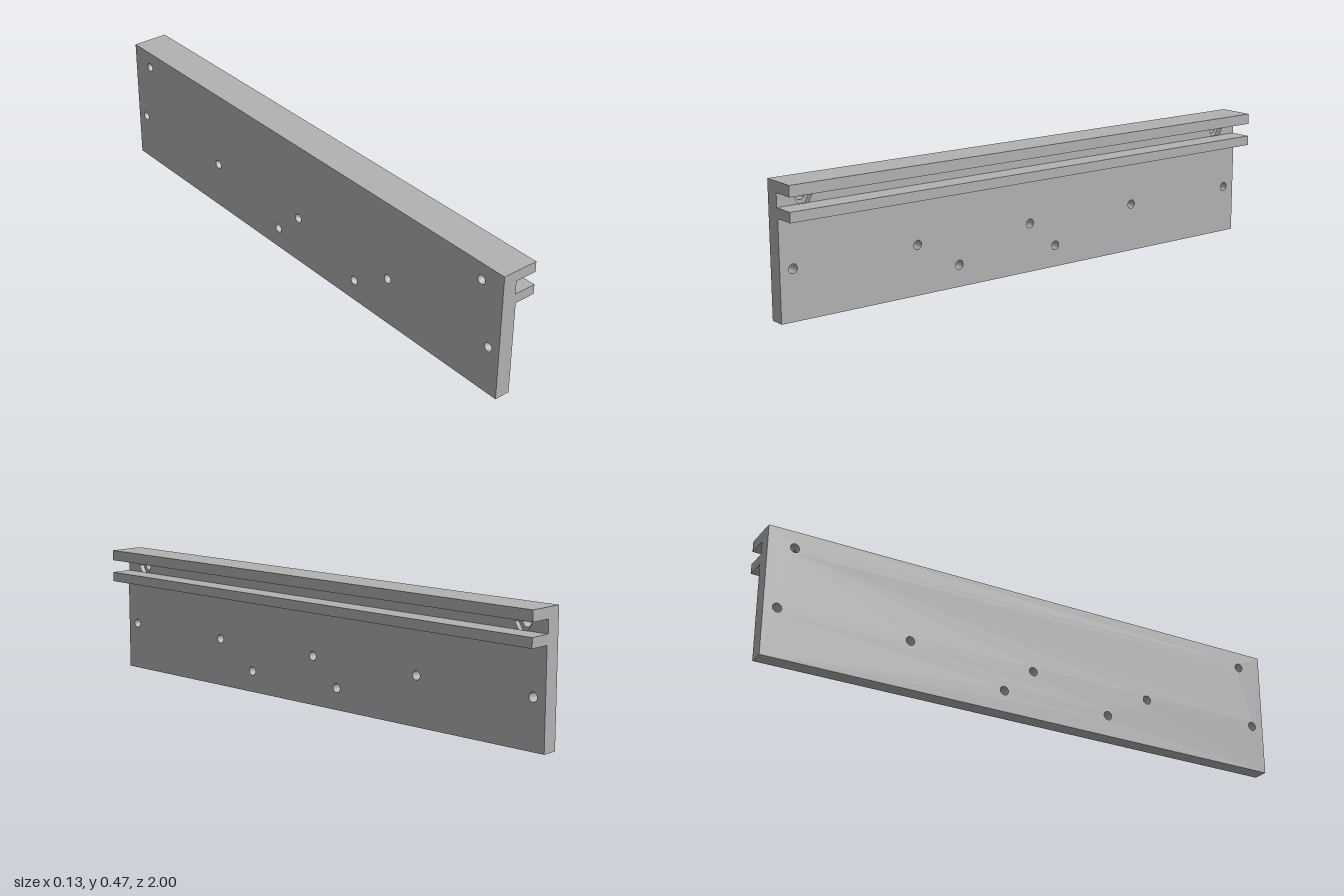
import * as THREE from 'three';

const LENGTH = 2;
const HOLE_R = 0.016;
const POCKET_R = 0.0325;
const X_BACK = -0.067, X_POCKET = -0.034, X_SLOT = -0.014, X_WALL = -0.01, X_FRONT = 0.067;
const HEIGHT = 0.466, WALL_TOP = 0.346;

// hole centres as [z, y]
const wallHoles = [-0.952, -0.476, 0, 0.476, 0.952].map((z) => [z, 0.176])
  .concat([[0.306, 0.078], [-0.115, 0.078]]);
const slotHoles = [[0.905, 0.405], [-0.905, 0.405]];

function roundHole([z, y]) {
  const path = new THREE.Path();
  path.absarc(-z, y, HOLE_R, 0, Math.PI * 2, true);
  return path;
}

// hexagonal nut pocket with corners pointing along the rail
function hexHole([z, y]) {
  const points = [];
  for (let i = 0; i < 6; i++) {
    const a = -i * Math.PI / 3;
    points.push(new THREE.Vector2(-z + POCKET_R * Math.cos(a), y + POCKET_R * Math.sin(a)));
  }
  return new THREE.Path(points);
}

// upright plate between two x positions, pierced by holes
function plate(name, x0, x1, height, holes, material) {
  const h = LENGTH / 2;
  const shape = new THREE.Shape([
    new THREE.Vector2(-h, 0), new THREE.Vector2(h, 0),
    new THREE.Vector2(h, height), new THREE.Vector2(-h, height),
  ]);
  shape.holes.push(...holes);
  const geometry = new THREE.ExtrudeGeometry(shape, { depth: x1 - x0, bevelEnabled: false, curveSegments: 24 });
  geometry.rotateY(Math.PI / 2).translate(x0, 0, 0);
  const mesh = new THREE.Mesh(geometry, material);
  mesh.name = name;
  return mesh;
}

// horizontal flange along the full length
function flange(name, y0, y1, material) {
  const mesh = new THREE.Mesh(new THREE.BoxGeometry(X_FRONT - X_SLOT, y1 - y0, LENGTH), material);
  mesh.position.set((X_SLOT + X_FRONT) / 2, (y0 + y1) / 2, 0);
  mesh.name = name;
  return mesh;
}

export function createModel() {
  const grey = new THREE.MeshStandardMaterial({ color: 0xb2b2b2 });
  grey.name = 'grey';
  const group = new THREE.Group();
  group.name = 'slottedRail';

  // wall in three layers, so the nut pockets stop part way through
  group.add(
    plate('backPlate', X_BACK, X_POCKET, HEIGHT, [...wallHoles, ...slotHoles].map(roundHole), grey),
    plate('pocketPlate', X_POCKET, X_SLOT, HEIGHT, [...wallHoles.map(roundHole), ...slotHoles.map(hexHole)], grey),
    plate('wallFace', X_SLOT, X_WALL, WALL_TOP, wallHoles.map(roundHole), grey),
  );

  // two flanges forming the slot
  group.add(flange('upperFlange', 0.428, HEIGHT, grey), flange('lowerFlange', WALL_TOP, 0.381, grey));
  return group;
}
